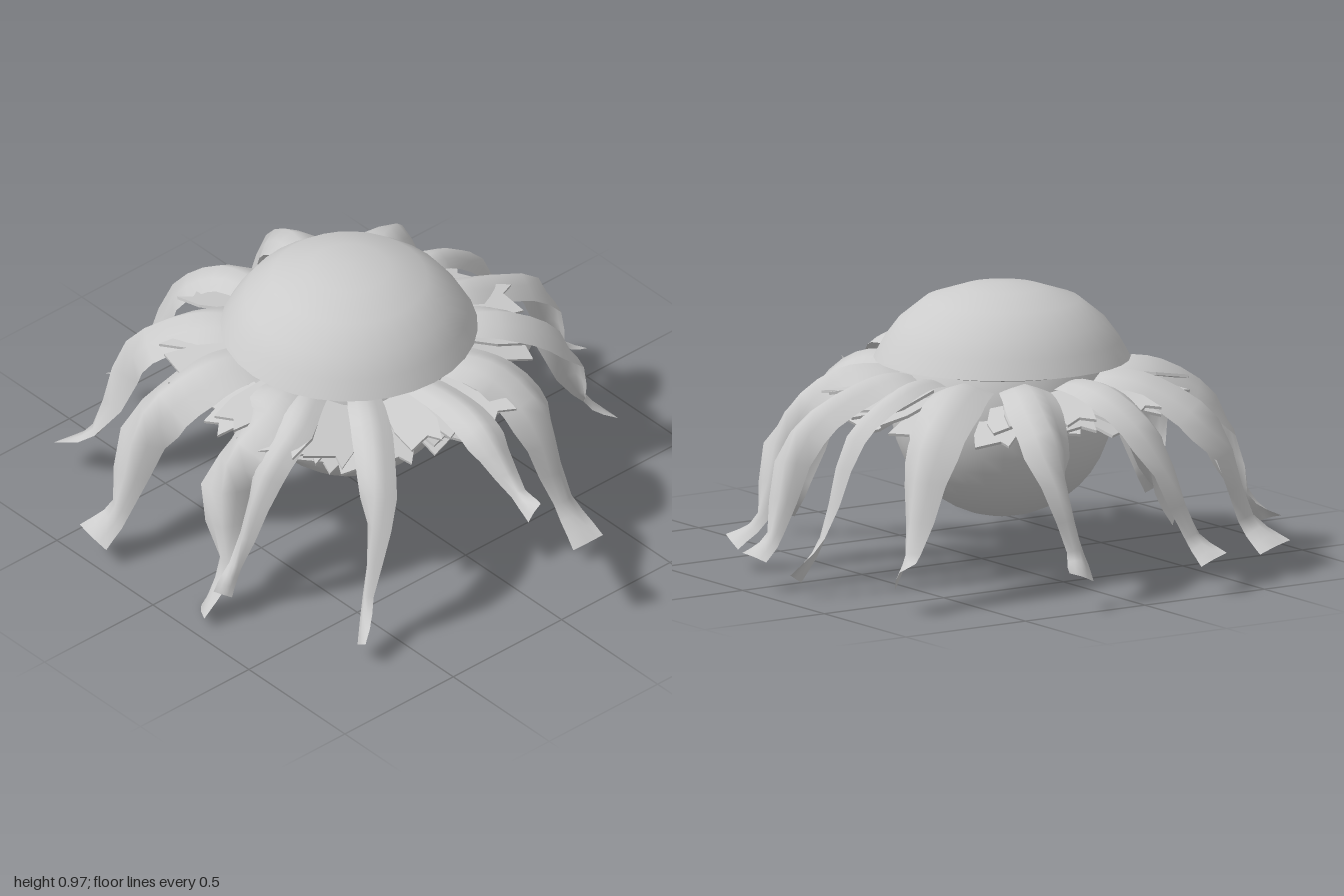
import * as THREE from 'three';
import { toCreasedNormals } from 'three/addons/utils/BufferGeometryUtils.js';

const CX = -0.045, CZ = 0.055; // flower axis

const grey = new THREE.MeshStandardMaterial({ color: 0xcccccc });
const thin = new THREE.MeshStandardMaterial({ color: 0xcccccc, side: THREE.DoubleSide });
const faceted = new THREE.MeshStandardMaterial({ color: 0xcccccc, side: THREE.DoubleSide, flatShading: true });

function seeded(seed) {
  return () => (seed = (seed * 16807) % 2147483647) / 2147483647;
}

// Each petal: x,z of shoulder, bend, ankle and tip; width; tip height; tip twist
const PETALS = [
  [[0.01, -0.5], [0.01, -0.77], [-0.03, -0.9], [-0.04, -0.98], 0.19, 0.13, -0.3],
  [[-0.2, -0.5], [-0.2, -0.7], [-0.21, -0.82], [-0.19, -0.91], 0.13, 0.07, 1.1],
  [[-0.4, -0.42], [-0.53, -0.62], [-0.62, -0.74], [-0.66, -0.81], 0.23, 0.13, 1.1],
  [[-0.62, -0.19], [-0.8, -0.23], [-0.91, -0.21], [-0.97, -0.24], 0.2, 0.13, -0.6],
  [[-0.64, 0.13], [-0.8, 0.2], [-0.89, 0.29], [-0.97, 0.31], 0.19, 0.13, 0.6],
  [[-0.5, 0.4], [-0.66, 0.54], [-0.72, 0.64], [-0.82, 0.67], 0.24, 0.11, 0.4],
  [[-0.24, 0.59], [-0.31, 0.77], [-0.31, 0.9], [-0.34, 0.98], 0.25, 0.1, -0.5],
  [[0.1, 0.56], [0.1, 0.75], [0.16, 0.83], [0.16, 0.92], 0.25, 0.03, 0.7],
  [[0.22, 0.54], [0.24, 0.71], [0.22, 0.82], [0.23, 0.88], 0.13, 0.12, -0.9],
  [[0.43, 0.37], [0.59, 0.5], [0.65, 0.6], [0.72, 0.68], 0.14, 0.08, 1.1],
  [[0.57, 0.06], [0.71, 0.085], [0.87, 0.09], [0.99, 0.12], 0.15, 0.52, 1],
  [[0.46, -0.21], [0.62, -0.26], [0.7, -0.29], [0.8, -0.3], 0.21, 0.08, 0.6],
  [[0.24, -0.45], [0.29, -0.62], [0.27, -0.75], [0.32, -0.83], 0.2, 0.11, -0.5],
];

// Arched strip with a central ridge, narrow ankle and flared tip
function petalGeometry([shoulder, bend, ankle, tip, width, tipY, twist]) {
  const raised = tipY > 0.4;
  const ys = raised ? [0.71, 0.68, 0.53] : [0.685, 0.55, 0.21];
  const a = Math.atan2(shoulder[1] - CZ, shoulder[0] - CX);
  const at = (r, y) => new THREE.Vector3(CX + r * Math.cos(a), y, CZ + r * Math.sin(a));
  const path = new THREE.CatmullRomCurve3([
    at(0.3, 0.67), at(0.42, 0.705),
    new THREE.Vector3(shoulder[0], ys[0], shoulder[1]),
    new THREE.Vector3(bend[0], ys[1], bend[1]),
    new THREE.Vector3(ankle[0], ys[2], ankle[1]),
    new THREE.Vector3(tip[0], tipY, tip[1]),
  ]);
  const widths = [0.75, 0.92, 1.02, 0.95, 0.36, 0.55];
  const arches = [0.1, 0.2, 0.28, 0.38, 0.4, 0.05];
  const mix = (list, t) => {
    const s = t * (list.length - 1), i = Math.min(Math.floor(s), list.length - 2);
    return THREE.MathUtils.lerp(list[i], list[i + 1], s - i);
  };
  const ROWS = 15, COLS = 4, pos = [], index = [];
  for (let i = 0; i <= ROWS; i++) {
    const t = i / ROWS, p = path.getPoint(t), dir = path.getTangent(t);
    const side = new THREE.Vector3().crossVectors(dir, new THREE.Vector3(0, 1, 0)).normalize();
    side.applyAxisAngle(dir, twist * t ** 3);
    const normal = new THREE.Vector3().crossVectors(side, dir);
    const w = width * mix(widths, t), drop = w * mix(arches, t);
    for (let j = 0; j <= COLS; j++) {
      const u = (2 * j) / COLS - 1;
      const v = p.clone().addScaledVector(side, (u * w) / 2).addScaledVector(normal, -drop * Math.abs(u) ** 1.3);
      pos.push(v.x, Math.max(v.y, 0), v.z);
      if (i < ROWS && j < COLS) {
        const k = i * (COLS + 1) + j, n = k + COLS + 1;
        index.push(k, k + 1, n, k + 1, n + 1, n);
      }
    }
  }
  const g = new THREE.BufferGeometry();
  g.setAttribute('position', new THREE.Float32BufferAttribute(pos, 3));
  g.setIndex(index);
  g.computeVertexNormals();
  return g;
}

// Thin ragged leaflet pointing along +x
function leafletGeometry(length, width, skew) {
  const s = new THREE.Shape();
  s.moveTo(0, -width * 0.3);
  s.lineTo(length * 0.62, -width * 0.5);
  s.lineTo(length * 0.95, -width * (0.35 + skew));
  s.lineTo(length * 0.86, width * skew);
  s.lineTo(length, width * 0.3);
  s.lineTo(length * 0.7, width * 0.5);
  s.lineTo(0, width * 0.3);
  const g = new THREE.ExtrudeGeometry(s, { depth: 0.01, bevelEnabled: false });
  return g.rotateX(-Math.PI / 2);
}

export function createModel() {
  const model = new THREE.Group();
  const add = (name, geometry, material, parent = model) => {
    const mesh = new THREE.Mesh(geometry, material);
    mesh.name = name;
    parent.add(mesh);
    return mesh;
  };

  // Domed flower head with a sharp rim and shallow underside
  const profile = [[0, 0.66], [0.3, 0.69], [0.445, 0.722], [0.41, 0.785], [0.36, 0.852],
    [0.27, 0.925], [0.14, 0.968], [0, 0.982]].map(([r, y]) => new THREE.Vector2(r, y));
  add('flowerHead', toCreasedNormals(new THREE.LatheGeometry(profile, 32), 1), grey).position.set(CX, 0, CZ);

  // Round bulb below
  add('bulb', new THREE.SphereGeometry(0.385, 32, 20), grey).position.set(CX, 0.55, CZ);

  // Drooping petals
  const petals = new THREE.Group();
  petals.name = 'petals';
  model.add(petals);
  for (const p of PETALS) add('petal', petalGeometry(p), thin, petals);

  // Tiers of small leaflets between petals and bulb: height, count, reach, droop
  const rand = seeded(71);
  const leaflets = new THREE.Group();
  leaflets.name = 'leaflets';
  leaflets.position.set(CX, 0, CZ);
  model.add(leaflets);
  [[0.66, 15, 0.36, 0.08], [0.63, 16, 0.37, 0.14], [0.59, 13, 0.29, 0.24]].forEach(([y, count, reach, droop], tier) => {
    for (let i = 0; i < count; i++) {
      const angle = ((i + tier / 3 + 0.5 * rand()) / count) * Math.PI * 2;
      const geometry = leafletGeometry(reach * (0.8 + 0.2 * rand()), 0.14 + 0.05 * rand(), 0.15 * rand());
      const leaf = add('leaflet', geometry, faceted, leaflets);
      leaf.rotation.set((rand() - 0.5) * 0.5, angle, -droop - 0.18 * rand(), 'YXZ');
      leaf.position.set(0.31 * Math.cos(angle), y, -0.31 * Math.sin(angle));
    }
  });

  return model;
}
